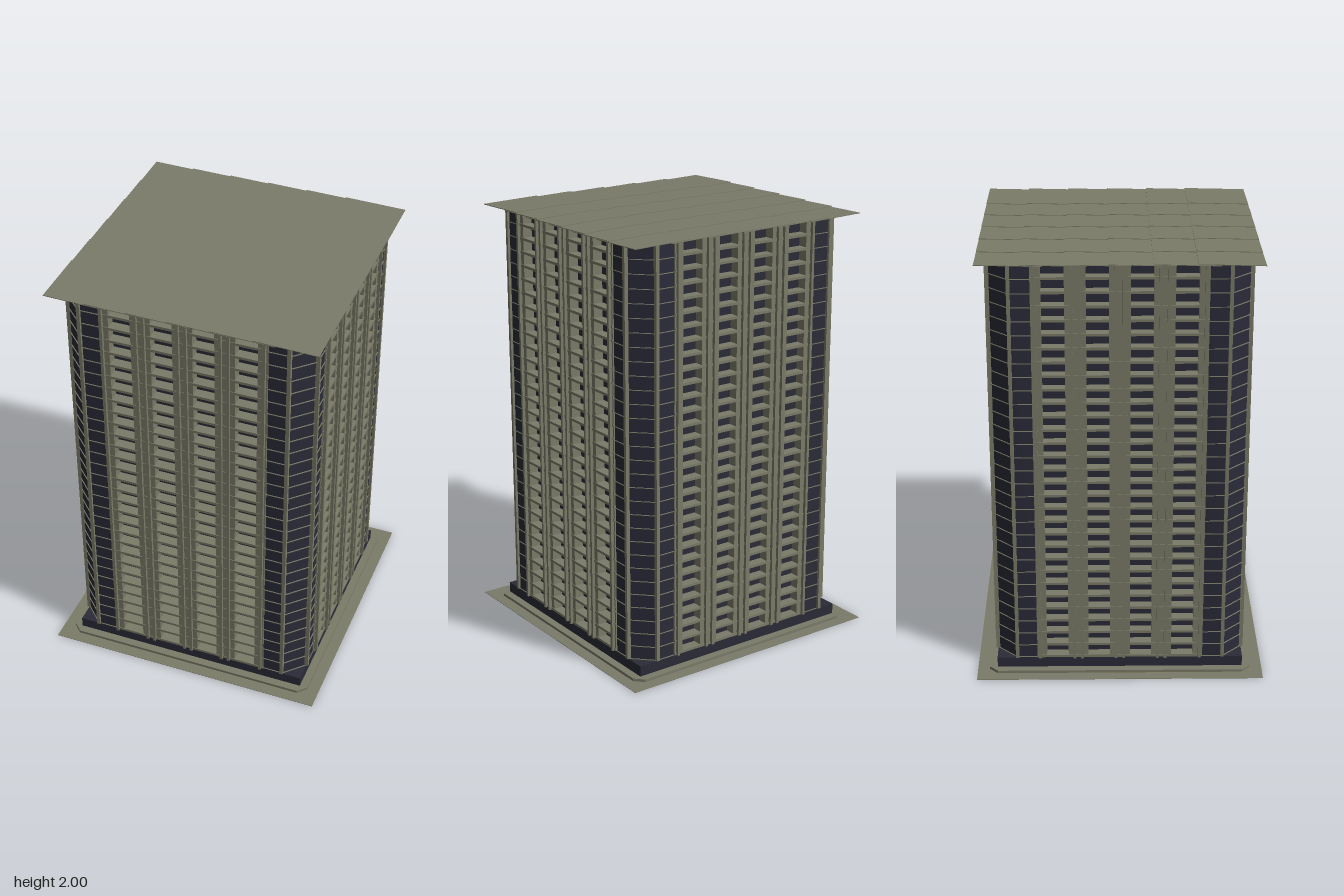
import * as THREE from 'three';

const stone = new THREE.MeshStandardMaterial({ color: 0x7b7b69, flatShading: true });
const glass = new THREE.MeshStandardMaterial({ color: 0x2a2b38, flatShading: true });

const FLOORS = 30, BOTTOM = 0.068, TOP = 1.984;
const PITCH = (TOP - BOTTOM) / FLOORS;

function add(parent, name, geometry, material, x = 0, y = 0, z = 0) {
  const mesh = new THREE.Mesh(geometry, material);
  mesh.name = name;
  mesh.position.set(x, y, z);
  parent.add(mesh);
  return mesh;
}

// Horizontal plate or prism from one quarter of a plan, turned four times
function prism(quarter, height) {
  const points = [];
  for (let i = 0; i < 4; i++) {
    for (const [x, y] of quarter) {
      points.push(new THREE.Vector2(x, y).rotateAround(new THREE.Vector2(), i * Math.PI / 2));
    }
  }
  const geometry = new THREE.ExtrudeGeometry(new THREE.Shape(points), { depth: height, bevelEnabled: false });
  return geometry.rotateX(-Math.PI / 2);
}

function addBase(group) {
  add(group, 'groundPlate', new THREE.BoxGeometry(1.33, 0.002, 1.33), stone, 0, 0.001);
  add(group, 'plinth', prism([[0.61, -0.57], [0.61, 0.57], [0.57, 0.61]], 0.013), stone, 0, 0.002);
  add(group, 'podium', new THREE.BoxGeometry(1.145, 0.05, 1.145), glass, 0, 0.04);
}

function addCore(group) {
  // Chamfered glass shaft, set back in the middle of each side
  const plan = [[0.57, -0.48], [0.57, -0.385], [0.53, -0.385], [0.53, 0.385], [0.57, 0.385], [0.57, 0.48]];
  add(group, 'glassShaft', prism(plan, TOP - BOTTOM), glass, 0, BOTTOM);

  // Thin floor edges around the whole shaft
  const floorEdge = prism([[0.574, -0.482], [0.574, 0.482]], 0.003);
  for (let i = 0; i <= FLOORS; i++) {
    add(group, 'floorEdge', floorEdge, stone, 0, BOTTOM - 0.0015 + i * PITCH);
  }
}

// One side of the tower, facing +z
function createSide() {
  const side = new THREE.Group();
  side.name = 'facade';
  const height = TOP - BOTTOM, midY = (TOP + BOTTOM) / 2;

  // Piers with paired ribs
  const rib = new THREE.BoxGeometry(0.013, height, 0.02);
  const pier = (x, width, ribs) => {
    add(side, 'pier', new THREE.BoxGeometry(width, height, 0.05), stone, x, midY, 0.551);
    for (const dx of ribs) add(side, 'pierRib', rib, stone, x + dx, midY, 0.581);
  };
  for (const x of [-0.1925, 0, 0.1925]) pier(x, 0.093, [-0.018, 0.018]);
  for (const s of [-1, 1]) pier(s * 0.3625, 0.045, [s * 0.008]);

  // Balcony floors between the piers
  const balcony = new THREE.BoxGeometry(0.77, 0.012, 0.052);
  for (let i = 0; i < FLOORS; i++) {
    add(side, 'balconyFloor', balcony, stone, 0, BOTTOM + 0.006 + i * PITCH, 0.553);
  }

  // Fins where the side meets the chamfered corners
  for (const s of [-1, 1]) {
    add(side, 'cornerFin', new THREE.BoxGeometry(0.016, height, 0.026), stone, s * 0.478, midY, 0.569);
  }
  return side;
}

// Overlapping roof panels, raised along their -x and -z edges
function addRoof(group) {
  const size = 0.287, step = 0.19, rise = 0.007, thickness = 0.003;
  const geometry = new THREE.BoxGeometry(size, thickness, size);
  const p = geometry.attributes.position;
  for (let i = 0; i < p.count; i++) {
    p.setY(i, p.getY(i) - rise * (p.getX(i) + p.getZ(i)) / size);
  }
  geometry.computeVertexNormals();
  const y = 2 - rise - thickness / 2;
  for (let i = 0; i < 6; i++) {
    for (let j = 0; j < 6; j++) {
      add(group, 'roofPanel', geometry, stone, (i - 2.5) * step, y, (j - 2.5) * step);
    }
  }
}

export function createModel() {
  const group = new THREE.Group();
  group.name = 'tower';
  addBase(group);
  addCore(group);
  for (let i = 0; i < 4; i++) {
    const side = createSide();
    side.rotation.y = i * Math.PI / 2;
    group.add(side);
  }
  addRoof(group);
  return group;
}
